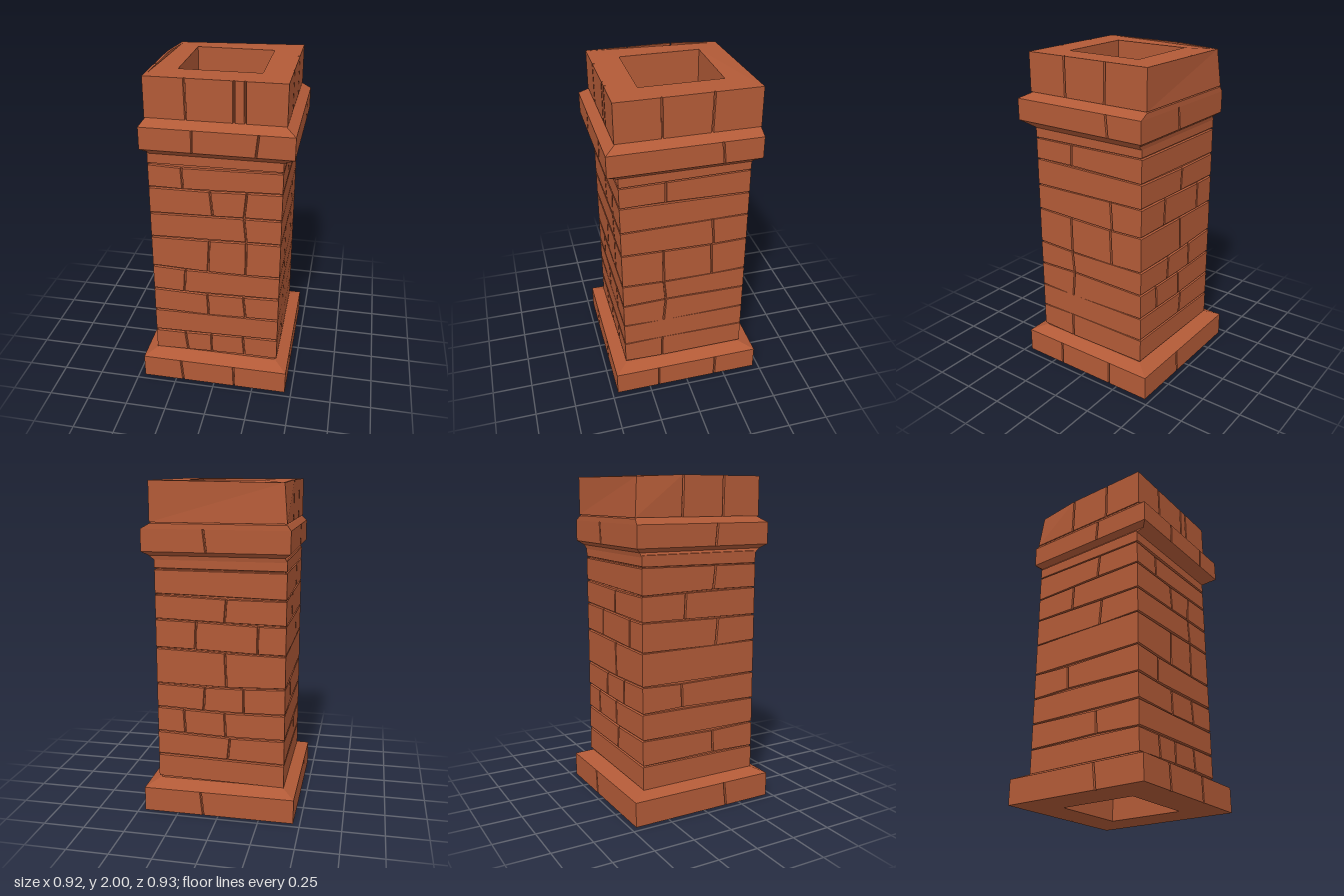
import * as THREE from 'three';
import { mergeGeometries } from 'three/addons/utils/BufferGeometryUtils.js';

// Rectangles in plan: [xMin, xMax, zMin, zMax]
const TUNNEL = [-0.23, 0.24, -0.25, 0.235];
const BASE = [-0.46, 0.46, -0.465, 0.465];
const SHAFT = [-0.388, 0.39, -0.38, 0.39];
const COLLAR = [-0.41, 0.456, -0.42, 0.462];
const CAP = [-0.388, 0.402, -0.418, 0.405];
const DEPTH = 0.014;

const inset = ([x0, x1, z0, z1], d = 0.012) => [x0 + d, x1 - d, z0 + d, z1 - d];

// Hollow block: outer rings from bottom to top, then back down the tunnel
function hollow(rings) {
  const yLow = rings[0][0], yHigh = rings[rings.length - 1][0];
  const loop = [...rings, [yHigh, TUNNEL], [yLow, TUNNEL]];
  const pos = [], idx = [];
  for (const [y, [x0, x1, z0, z1]] of loop) {
    pos.push(x0, y, z1, x1, y, z1, x1, y, z0, x0, y, z0);
  }
  for (let i = 0; i < loop.length; i++) {
    const lo = i * 4, hi = ((i + 1) % loop.length) * 4;
    for (let k = 0; k < 4; k++) {
      const n = (k + 1) % 4;
      idx.push(lo + k, lo + n, hi + n, lo + k, hi + n, hi + k);
    }
  }
  const g = new THREE.BufferGeometry();
  g.setAttribute('position', new THREE.Float32BufferAttribute(pos, 3));
  g.setIndex(idx);
  const flat = g.toNonIndexed();
  flat.computeVertexNormals();
  return flat;
}

// Each side, in order front, right (+x), back, left (-x): span, distance and turn
function sideOf([x0, x1, z0, z1], side) {
  return [
    { a: x0, b: x1, out: z1, place: (s, d) => [s, d] },
    { a: -z1, b: -z0, out: x1, place: (s, d) => [d, -s] },
    { a: -x1, b: -x0, out: -z0, place: (s, d) => [-s, -d] },
    { a: z0, b: z1, out: -x0, place: (s, d) => [-d, s] },
  ][side];
}

// Uneven mortar line, continuous around the corners
const wobble = (y, x, z) => 0.009 * Math.sin(y * 37 + x * 4.5) + 0.006 * Math.sin(y * 61 + z * 6);

// One row of chamfered bricks on one side, mitred at the corners
function row(rect, side, y0, y1, joints, bevelY, wavy) {
  const { a, b, out, place } = sideOf(rect, side);
  const cuts = [a, ...joints, b];
  const bricks = [];
  for (let i = 0; i < cuts.length - 1; i++) {
    const g = new THREE.BoxGeometry(1, 1, 1);
    const p = g.attributes.position;
    for (let v = 0; v < p.count; v++) {
      const right = p.getX(v) > 0, top = p.getY(v) > 0, front = p.getZ(v) > 0;
      const end = right ? cuts[i + 1] : cuts[i];
      const corner = right ? i === cuts.length - 2 : i === 0;
      const lean = corner ? 0 : 0.008 * Math.sin(end * 50 + (top ? y1 : y0) * 23);
      const trim = corner ? (front ? 0 : DEPTH) : (front ? 0.006 : 0.002);
      const s = end + lean + (right ? -trim : trim);
      const [x, z] = place(s, front ? out : out - DEPTH);
      let y = top ? y1 : y0;
      if (wavy) y += wobble(y, x, z);
      y += (top ? -1 : 1) * (front ? bevelY : bevelY * 0.3);
      p.setXYZ(v, x, y, z);
    }
    const flat = g.toNonIndexed();
    flat.computeVertexNormals();
    flat.deleteAttribute('uv');
    bricks.push(flat);
  }
  return bricks;
}

// Plain band with upright joints only
const band = (rect, y0, y1, joints) =>
  joints.flatMap((j, side) => row(rect, side, y0, y1, j, 0, false));

export function createModel() {
  const group = new THREE.Group();
  const brick = new THREE.MeshStandardMaterial({ color: 0xb25a37, flatShading: true });
  brick.name = 'terracotta brick';
  const add = (name, parts) => {
    const mesh = new THREE.Mesh(mergeGeometries(parts), brick);
    mesh.name = name;
    group.add(mesh);
    return mesh;
  };

  // Footing with a sloped top edge
  add('base', [
    hollow([[0, inset(BASE)], [0.15, inset(BASE)], [0.15, BASE], [0.182, SHAFT], [0.185, inset(SHAFT)]]),
    ...band(BASE, 0, 0.15, [[-0.21, 0.13], [-0.19, 0.19], [-0.1], [0.15]]),
  ]);

  // Shaft core seen in the mortar lines
  add('shaftCore', [hollow([[0.17, inset(SHAFT)], [1.56, inset(SHAFT)]])]);

  // Brick courses; upright joints for front, right, back and left
  const levels = [0.185, 0.34, 0.485, 0.65, 0.8, 1.015, 1.185, 1.345, 1.49, 1.57];
  const joints = [
    [[-0.19, -0.03, 0.18], [-0.15], [], []],
    [[], [], [0.05], [0.1]],
    [[-0.05, 0.18], [-0.13], [-0.22, 0.03], []],
    [[-0.19], [-0.13], [-0.1, 0.14], [-0.12]],
    [[-0.04, 0.18], [-0.13, 0.16], [0.03], []],
    [[0.18], [0.17], [-0.15, 0.22], [0.12]],
    [[-0.02, 0.18], [], [0.03], [-0.1]],
    [[-0.19], [-0.12], [], [0.1]],
    [[], [], [], []],
  ];
  const bevels = [0.007, 0.004, 0.007, 0.004];
  add('shaftBricks', joints.flatMap((course, i) => course.flatMap((j, side) =>
    row(SHAFT, side, levels[i], levels[i + 1], j, bevels[side], true))));

  // Projecting collar, flared below and sloped above
  add('collar', [
    hollow([[1.54, inset(SHAFT)], [1.55, SHAFT], [1.575, inset(COLLAR, 0.035)], [1.6, COLLAR],
      [1.6, inset(COLLAR)], [1.73, inset(COLLAR)], [1.73, COLLAR], [1.76, CAP], [1.77, inset(CAP)]]),
    ...band(COLLAR, 1.6, 1.73, [[-0.11, 0.25], [0.19], [-0.08], [0.1]]),
  ]);

  // Top course, with the back corner on the -x side worn away
  const cap = add('cap', [
    hollow([[1.76, inset(CAP)], [2, inset(CAP)]]),
    ...band(CAP, 1.767, 2, [[-0.16, 0.105, 0.18], [-0.15, 0.14], [], [-0.12, 0.16]]),
  ]);
  const p = cap.geometry.attributes.position;
  for (let v = 0; v < p.count; v++) {
    if (p.getX(v) < -0.36 && p.getZ(v) < -0.39 && p.getY(v) > 1.9) {
      p.setXYZ(v, p.getX(v) + 0.02, p.getY(v) - 0.012, p.getZ(v) + 0.02);
    }
  }
  cap.geometry.computeVertexNormals();

  return group;
}
